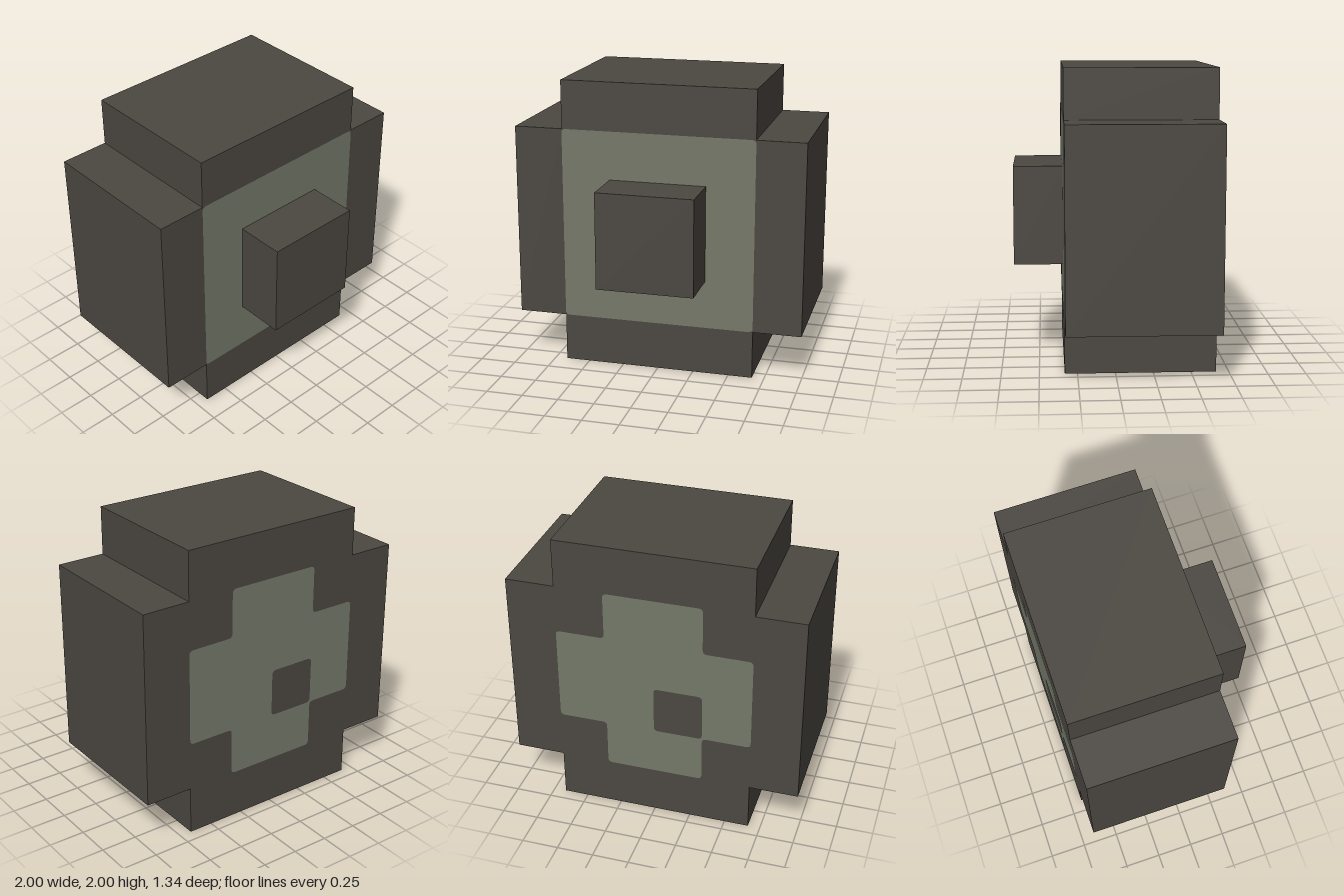
import * as THREE from 'three';

const U = 1 / 3; // grid unit: the model is 6 units tall

// Closed outline through grid points, with optional softened corners
function outline(points, radius = 0, Type = THREE.Shape) {
  const pts = points.map(([x, y]) => new THREE.Vector2(x * U, y * U));
  const path = new Type();
  pts.forEach((p, i) => {
    const prev = pts[(i + pts.length - 1) % pts.length];
    const next = pts[(i + 1) % pts.length];
    const a = p.clone().add(prev.clone().sub(p).setLength(radius));
    const b = p.clone().add(next.clone().sub(p).setLength(radius));
    if (i === 0) path.moveTo(a.x, a.y);
    else path.lineTo(a.x, a.y);
    if (radius > 0) path.quadraticCurveTo(p.x, p.y, b.x, b.y);
  });
  path.closePath();
  return path;
}

// Square with its four corners notched, centred at height 3
const cross = (outer, inner) => [
  [-inner, 3 - outer], [inner, 3 - outer], [inner, 3 - inner], [outer, 3 - inner],
  [outer, 3 + inner], [inner, 3 + inner], [inner, 3 + outer], [-inner, 3 + outer],
  [-inner, 3 + inner], [-outer, 3 + inner], [-outer, 3 - inner], [-inner, 3 - inner],
];

const rect = (x0, y0, x1, y1) => [[x0, y0], [x1, y0], [x1, y1], [x0, y1]];

export function createModel() {
  const model = new THREE.Group();
  model.name = 'notchedBlock';

  const dark = new THREE.MeshStandardMaterial({ color: 0x4b4741 });
  dark.name = 'darkStone';
  const pale = new THREE.MeshStandardMaterial({ color: 0x747868 });
  pale.name = 'paleGreen';

  const add = (name, geometry, material) => {
    const mesh = new THREE.Mesh(geometry, material);
    mesh.name = name;
    model.add(mesh);
    return mesh;
  };

  // Main body
  const body = new THREE.ExtrudeGeometry(outline(cross(3, 2)), { depth: 3 * U, bevelEnabled: false });
  add('body', body, dark).position.z = -2 * U;

  // Square knob on the front
  add('frontKnob', new THREE.BoxGeometry(2 * U, 2 * U, U), dark).position.set(0, 1, 1.5 * U);

  // Painted square around the knob
  const frontPanel = outline(rect(-2, 1, 2, 5), 0.03);
  add('frontPanel', new THREE.ShapeGeometry(frontPanel, 4), pale).position.z = U + 0.002;

  // Painted cross on the back, with a small square opening
  const backPanel = outline(cross(2, 1), 0.03);
  backPanel.holes.push(outline(rect(0, 2, 1, 3).reverse(), 0.03, THREE.Path));
  const back = add('backPanel', new THREE.ShapeGeometry(backPanel, 4), pale);
  back.rotation.y = Math.PI;
  back.position.z = -2 * U - 0.002;

  return model;
}
